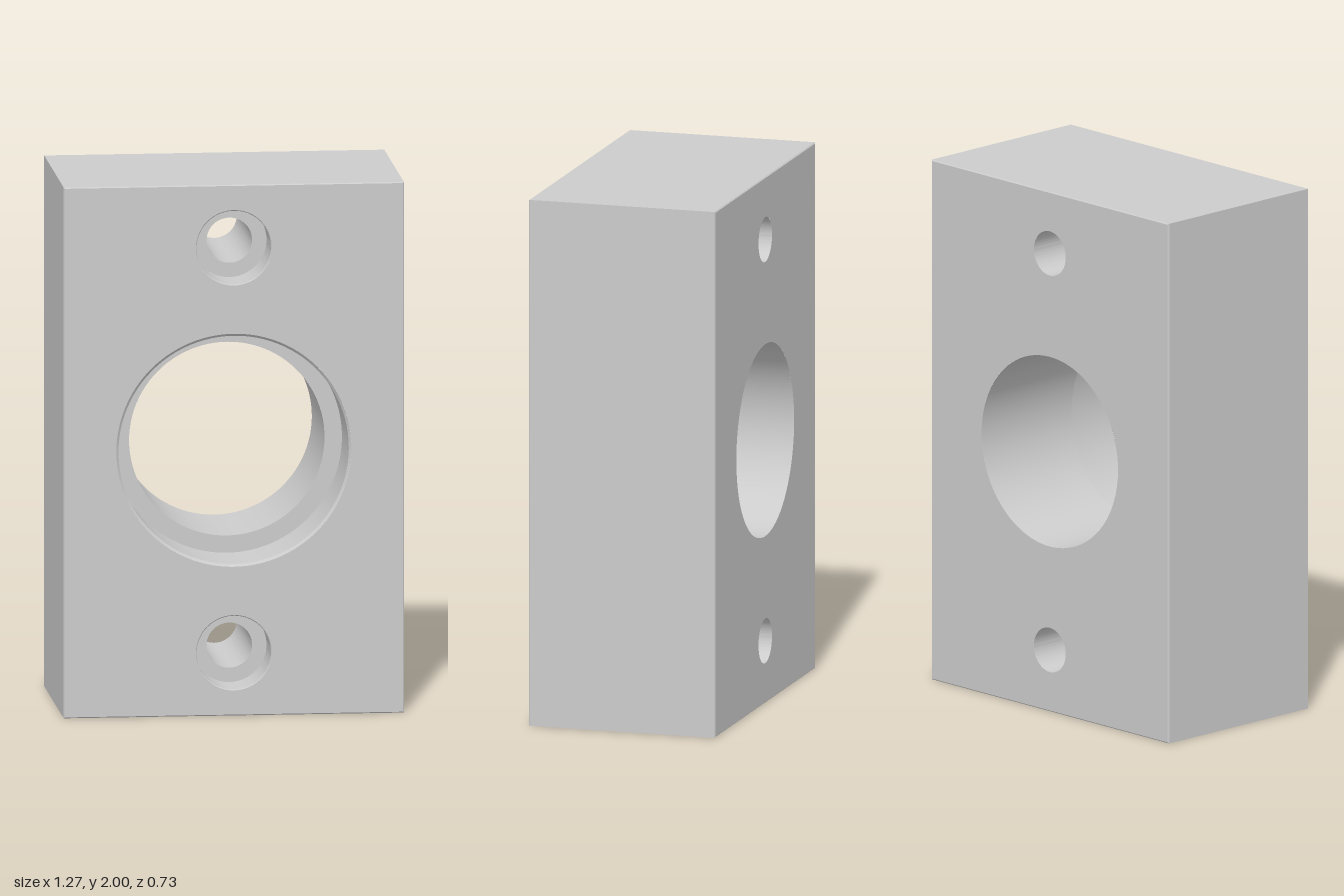
import * as THREE from 'three';
import { toCreasedNormals } from 'three/addons/utils/BufferGeometryUtils.js';

const W = 0.635, H = 1, D = 0.3625; // half sizes of the block
const EDGE = 0.004;                 // tiny chamfer on the block's edges
const SEGMENTS = 96;

// Counterbored holes, placed relative to the block's centre
const holes = [
  { name: 'mainBore', y: 0, bore: 0.365, counter: 0.43, depth: 0.26, chamfer: 0.009 },
  { name: 'upperScrewHole', y: 0.763, bore: 0.085, counter: 0.139, depth: 0.17, chamfer: 0.003 },
  { name: 'lowerScrewHole', y: -0.763, bore: 0.085, counter: 0.139, depth: 0.17, chamfer: 0.003 },
];

// Flat plate face pierced by the holes
function faceGeometry(radiusOf) {
  const w = W - EDGE, h = H - EDGE;
  const shape = new THREE.Shape([[-w, -h], [w, -h], [w, h], [-w, h]].map(p => new THREE.Vector2(...p)));
  for (const hole of holes) {
    shape.holes.push(new THREE.Path().absarc(0, hole.y, radiusOf(hole), 0, Math.PI * 2, true));
  }
  return new THREE.ShapeGeometry(shape, SEGMENTS);
}

// Four outer sides with chamfered front and back edges, lofted from rectangles
function sidesGeometry() {
  const rings = [[EDGE, D], [0, D - EDGE], [0, EDGE - D], [EDGE, -D]].map(([inset, z]) => {
    const w = W - inset, h = H - inset;
    return [[-w, -h, z], [w, -h, z], [w, h, z], [-w, h, z]];
  });
  const positions = [];
  for (let r = 0; r < rings.length - 1; r++) {
    for (let i = 0; i < 4; i++) {
      const j = (i + 1) % 4;
      const a = rings[r][i], b = rings[r][j], c = rings[r + 1][j], d = rings[r + 1][i];
      positions.push(...a, ...d, ...b, ...b, ...d, ...c);
    }
  }
  const geometry = new THREE.BufferGeometry();
  geometry.setAttribute('position', new THREE.Float32BufferAttribute(positions, 3));
  geometry.computeVertexNormals();
  return geometry;
}

// Inner wall of a stepped hole, profiled from front to back so it faces the axis
function holeGeometry({ bore, counter, depth, chamfer }) {
  const profile = [
    [counter + chamfer, D], [counter, D - chamfer],
    [counter, D - depth], [bore, D - depth], [bore, -D],
  ].map(p => new THREE.Vector2(...p));
  const lathe = new THREE.LatheGeometry(profile, SEGMENTS).rotateX(Math.PI / 2);
  return toCreasedNormals(lathe, 0.5);
}

export function createModel() {
  const group = new THREE.Group();
  group.name = 'mountingBlock';
  const material = new THREE.MeshStandardMaterial({ color: 0xcccccc });
  const add = (name, geometry, y = 0) => {
    const mesh = new THREE.Mesh(geometry, material);
    mesh.name = name;
    mesh.position.y = H + y;
    group.add(mesh);
  };

  add('frontFace', faceGeometry(h => h.counter + h.chamfer).translate(0, 0, D));
  add('backFace', faceGeometry(h => h.bore).rotateY(Math.PI).translate(0, 0, -D));
  add('outerSides', sidesGeometry());
  for (const hole of holes) add(hole.name, holeGeometry(hole), hole.y);

  return group;
}
